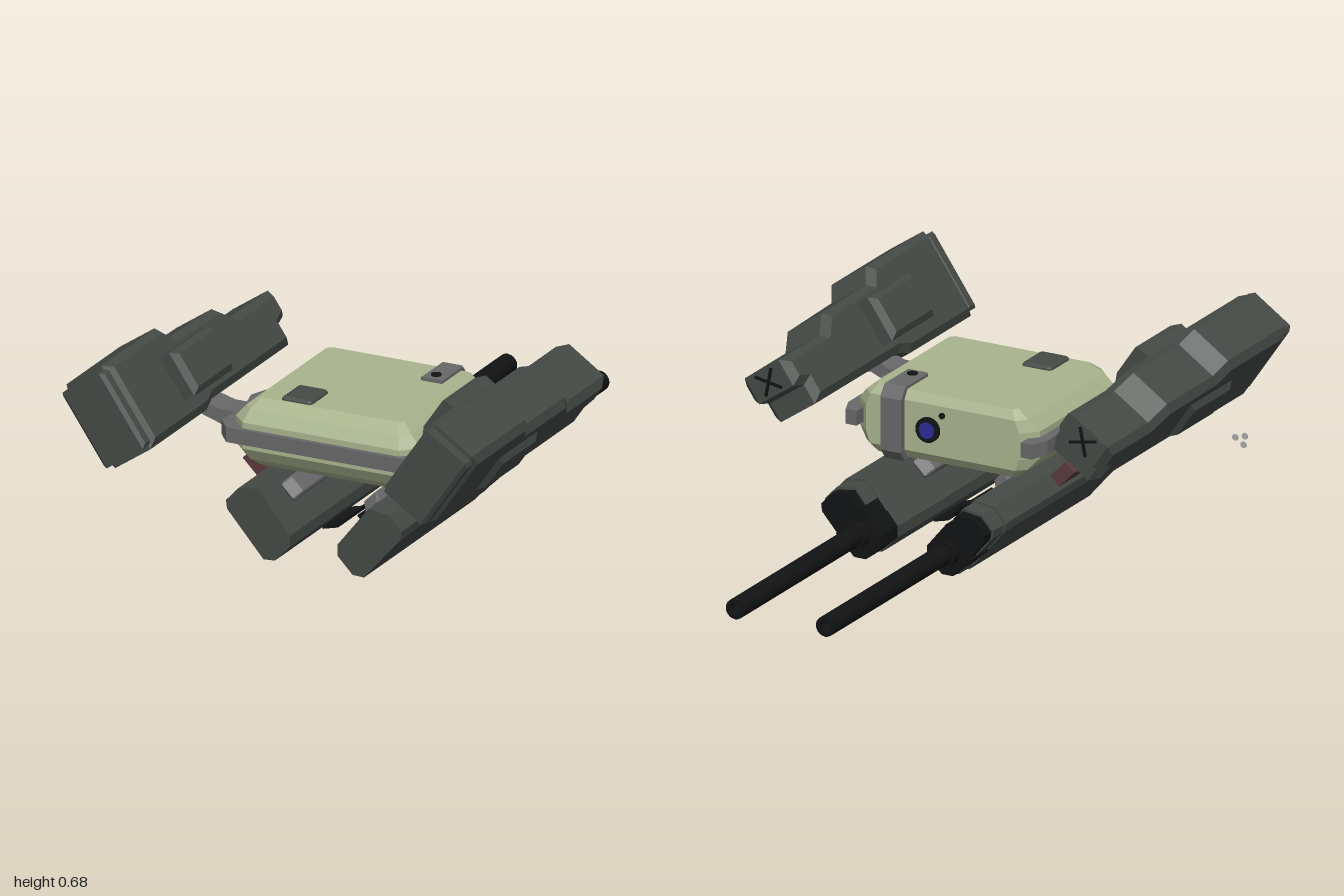
import * as THREE from 'three';
import { ConvexGeometry } from 'three/addons/geometries/ConvexGeometry.js';
import { RoundedBoxGeometry } from 'three/addons/geometries/RoundedBoxGeometry.js';

const mat = (color) => new THREE.MeshStandardMaterial({ color, flatShading: true, side: THREE.DoubleSide });
const armour = mat(0x454a46), green = mat(0xa9b48e), grey = mat(0x68686a);
const black = mat(0x121314), red = mat(0x5a3a3c), blue = mat(0x2c2c98), pale = mat(0xaaaaaa);

const CX = 0.07; // mirror plane of the body and guns

function add(parent, name, geometry, material, x = 0, y = 0, z = 0, rz = 0) {
  const mesh = new THREE.Mesh(geometry, material);
  mesh.name = name;
  mesh.position.set(x, y, z);
  mesh.rotation.z = rz;
  parent.add(mesh);
  return mesh;
}

const shapeOf = (pts) => new THREE.Shape(pts.map(([x, y]) => new THREE.Vector2(x, y)));
const box = (w, h, d) => new THREE.BoxGeometry(w, h, d);

// Extrude a cross-section in x, y from z0 to z1
function prism(pts, z0, z1) {
  return new THREE.ExtrudeGeometry(shapeOf(pts), { depth: z1 - z0, bevelEnabled: false }).translate(0, 0, z0);
}

// Extrude a side profile of [z, y] points across x, centred, with chamfered sides
function sideProfile(pts, halfWidth, bevel) {
  const depth = 2 * (halfWidth - bevel);
  return new THREE.ExtrudeGeometry(shapeOf(pts), {
    depth, bevelEnabled: true, bevelThickness: bevel, bevelSize: bevel, bevelOffset: -bevel, bevelSegments: 1,
  }).translate(0, 0, -depth / 2).rotateY(-Math.PI / 2);
}

// Extrude a plan outline of [x, z] points between two heights
function plan(pts, y0, y1) {
  return new THREE.ExtrudeGeometry(shapeOf(pts), { depth: y1 - y0, bevelEnabled: false })
    .rotateX(Math.PI / 2).translate(0, y1, 0);
}

function makeBody() {
  const g = new THREE.Group();
  g.name = 'body';
  // Hull from chamfered rectangles stacked symmetrically around y = 0.39
  const pts = [];
  for (const [dy, hx, z0, z1, c] of [[0.115, 0.26, 0.075, 0.575, 0.015], [0.085, 0.295, 0.055, 0.615, 0.03], [0.045, 0.33, 0.055, 0.64, 0.05]])
    for (const sy of [-1, 1]) for (const sx of [-1, 1])
      for (const [px, pz] of [[hx, z0 + c], [hx - c, z0], [hx, z1 - c], [hx - c, z1]])
        pts.push(new THREE.Vector3(CX + sx * px, 0.39 + sy * dy, pz));
  add(g, 'hull', new ConvexGeometry(pts), green);

  // Bumper round the front and sides, open at the back
  const half = [[0.3, 0.03], [0.34, 0.03], [0.365, 0.09], [0.365, 0.24], [0.35, 0.265], [0.37, 0.3], [0.392, 0.36],
    [0.365, 0.46], [0.375, 0.6], [0.33, 0.657]];
  const right = half.map(([x, z]) => [CX + x, z]);
  const left = half.map(([x, z]) => [CX - x, z]).reverse();
  const inner = [[CX - 0.3, 0.6], [CX + 0.3, 0.6]];
  add(g, 'bumper', plan([...right, ...left, ...inner], 0.365, 0.415), grey);

  // Strap wrapped over the back edge
  const strap = [[0.21, 0.49], [0.21, 0.517], [0.06, 0.517], [0.03, 0.48], [0.03, 0.30], [0.06, 0.264],
    [0.17, 0.264], [0.17, 0.285], [0.08, 0.285], [0.06, 0.31], [0.06, 0.47], [0.08, 0.49]];
  add(g, 'strap', sideProfile(strap, 0.038, 0.003), grey, 0.247);
  add(g, 'strapBolt', new THREE.CylinderGeometry(0.017, 0.017, 0.008, 16), black, 0.247, 0.518, 0.175);
  add(g, 'hatch', new RoundedBoxGeometry(0.11, 0.03, 0.13, 2, 0.014), armour, -0.055, 0.503, 0.505);

  // Lens on the back face
  const disc = (r, d) => new THREE.CylinderGeometry(r, r, d, 24).rotateX(Math.PI / 2);
  add(g, 'lensRim', disc(0.042, 0.02), black, 0.12, 0.39, 0.052);
  add(g, 'lens', disc(0.027, 0.006), blue, 0.12, 0.39, 0.041);
  add(g, 'sensor', disc(0.01, 0.01), black, 0.07, 0.445, 0.053);
  return g;
}

function makeGun(side) {
  const g = new THREE.Group();
  g.name = side > 0 ? 'leftGun' : 'rightGun';
  g.position.x = CX;
  const m = (pts) => pts.map(([x, y]) => [side * x, y]);
  // Outer, upper corner first, then round to the underside
  const section = [[0.314, 0.181], [0.27, 0.229], [0.197, 0.24], [0.085, 0.098], [0.085, 0.06], [0.139, 0.004], [0.18, 0.002], [0.31, 0.152]];
  const scaled = (k) => section.map(([x, y]) => [0.2 + (x - 0.2) * k, 0.12 + (y - 0.12) * k]);
  add(g, 'gunHousing', prism(m(section), -0.09, 0.69), armour);
  add(g, 'gunRear', prism(m(scaled(0.95)), -0.16, -0.09), armour);
  add(g, 'gunCap', prism(m(scaled(0.88)), -0.2, -0.16), black);
  const shroud = [[0.155, 0.185], [0.085, 0.1], [0.085, 0.06], [0.139, 0.012], [0.18, 0.012], [0.25, 0.08]];
  add(g, 'gunShroud', prism(m(shroud), -0.195, -0.085), black);

  // Barrel with a bored muzzle
  const barrel = [[0, -0.2], [0.043, -0.2], [0.043, 0.225 - 0.46], [0.034, -0.235], [0.034, -1], [0.02, -1], [0.02, -0.9], [0, -0.9]];
  const lathe = new THREE.LatheGeometry(barrel.map(([r, z]) => new THREE.Vector2(r, z)), 20).rotateX(Math.PI / 2);
  add(g, 'barrel', lathe, black, side * 0.165, 0.095, 0);

  // Mount to the body, magazine and thin guard
  const tilt = side * Math.PI / 4;
  add(g, 'gunBracket', sideProfile([[0.2, -0.03], [0.55, -0.03], [0.58, 0], [0.55, 0.03], [0.2, 0.03], [0.17, 0]], 0.034, 0.006),
    grey, side * 0.15, 0.2, 0, tilt);
  add(g, 'gunArm', box(0.038, 0.13, 0.14), grey, side * 0.1, 0.25, 0.34, tilt);
  add(g, 'magazine', box(0.045, 0.085, 0.21), red, side * 0.315, 0.232, 0.375, -tilt);
  const guard = [[0.115, 0.018], [0.06, 0.032], [0.008, 0.085], [0.013, 0.09], [0.063, 0.039], [0.115, 0.026]];
  add(g, 'guard', prism(m(guard), 0.2, 0.4), black);
  return g;
}

function makeLauncher(side, x, z) {
  const g = new THREE.Group();
  g.name = side > 0 ? 'leftLauncher' : 'rightLauncher';
  g.position.set(x, 0.51, z);
  g.rotation.z = -side * 0.6;
  // Stepped housing, tallest at the front
  const profile = [[-0.095, -0.05], [-0.04, -0.065], [-0.04, -0.135], [0.5, -0.135], [0.56, -0.155], [0.955, -0.155], [0.955, 0.155],
    [0.58, 0.155], [0.53, 0.105], [0.24, 0.1], [0.17, 0.045], [-0.095, 0.045]];
  add(g, 'launcherHousing', sideProfile(profile, 0.1, 0.025), armour);
  add(g, 'launcherFront', sideProfile([[0.94, -0.14], [0.995, -0.14], [0.995, 0.14], [0.94, 0.14]], 0.09, 0.012), armour);
  // Side boxes, deeper on the inner face
  const panel = (a) => sideProfile([[0.41, -a], [0.68, -a], [0.68, a], [0.41, a]], 0.05, 0.02);
  add(g, 'innerBox', panel(0.08), armour, -side * 0.112, -0.01, 0);
  add(g, 'outerBox', panel(0.075), armour, side * 0.068, -0.03, 0);
  // Crossed ribs on the back end
  for (const r of [-1, 1]) add(g, 'backRib', box(0.1, 0.009, 0.008), black, 0, -0.002, -0.097, r * Math.PI / 4);
  return g;
}

// Bent arm between the bumper and a launcher
function makeArm(side, tipX) {
  const root = CX + side * 0.34;
  const d = side * (tipX - root);
  const pts = [[0, 0.365], [d * 0.45, 0.365], [d, 0.395], [d, 0.44], [d * 0.45, 0.415], [0, 0.415]];
  return prism(pts.map(([x, y]) => [root + side * x, y]), 0.42, 0.52);
}

export function createModel() {
  const model = new THREE.Group();
  model.name = 'twinGunCarrier';
  model.add(makeBody(), makeGun(1), makeGun(-1));
  model.add(makeLauncher(1, 0.622, 0), makeLauncher(-1, -0.525, 0.01));
  add(model, 'leftArm', makeArm(1, 0.54), grey);
  add(model, 'rightArm', makeArm(-1, -0.44), grey);
  // Loose trio of small discs
  for (const [x, y] of [[-0.77, 0.375], [-0.735, 0.365], [-0.765, 0.345]])
    add(model, 'smallDisc', new THREE.CylinderGeometry(0.011, 0.011, 0.004, 16).rotateX(Math.PI / 2), pale, x, y, 0.53);
  return model;
}
